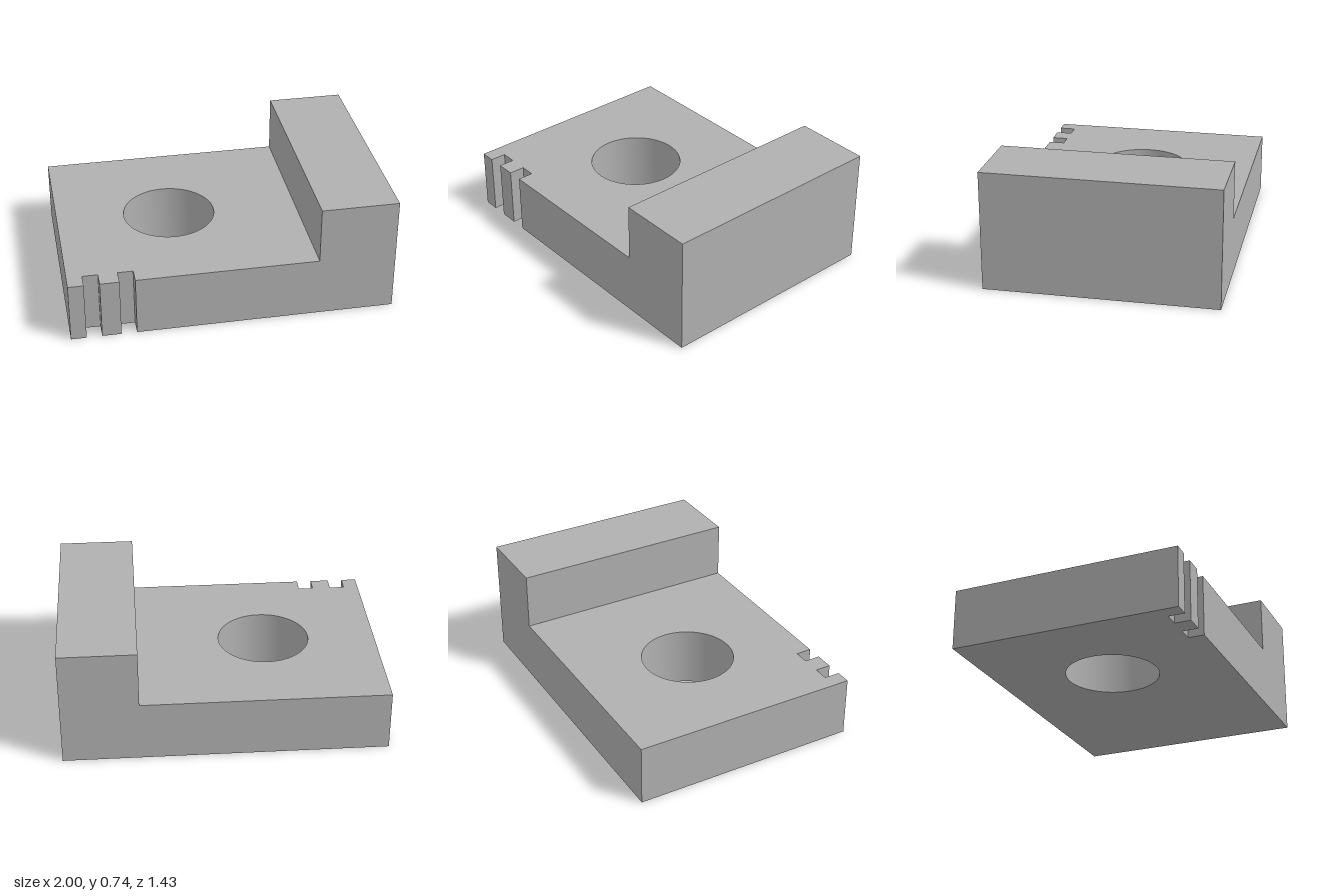
import * as THREE from 'three';
import { toCreasedNormals } from 'three/addons/utils/BufferGeometryUtils.js';

export function createModel() {
  const group = new THREE.Group();
  const grey = new THREE.MeshStandardMaterial({ color: 0xb0b0b0 });
  grey.name = 'plain grey';

  const halfDepth = 0.714, baseHeight = 0.381, blockHeight = 0.738, stepX = 0.524;

  // Plan outline of the base, drawn with y = -z, with notches along the front edge
  const outline = new THREE.Shape();
  outline.moveTo(-1, -halfDepth);
  for (const [x0, x1] of [[-0.905, -0.81], [-0.692, -0.598]]) {
    outline.lineTo(x0, -halfDepth);
    outline.lineTo(x0, -0.615);
    outline.lineTo(x1, -0.615);
    outline.lineTo(x1, -halfDepth);
  }
  outline.lineTo(stepX, -halfDepth);
  outline.lineTo(stepX, halfDepth);
  outline.lineTo(-1, halfDepth);
  outline.closePath();

  // Round through hole
  const hole = new THREE.Path();
  hole.absarc(-0.288, 0, 0.288, 0, Math.PI * 2, true);
  outline.holes.push(hole);

  const baseGeometry = new THREE.ExtrudeGeometry(outline, {
    depth: baseHeight, bevelEnabled: false, curveSegments: 64,
  });
  baseGeometry.rotateX(-Math.PI / 2);
  const base = new THREE.Mesh(toCreasedNormals(baseGeometry, 0.5), grey);
  base.name = 'basePlate';
  group.add(base);

  // Raised block on the left end, running the full depth
  const block = new THREE.Mesh(
    new THREE.BoxGeometry(1 - stepX, blockHeight, halfDepth * 2), grey);
  block.position.set((1 + stepX) / 2, blockHeight / 2, 0);
  block.name = 'raisedBlock';
  group.add(block);

  return group;
}
